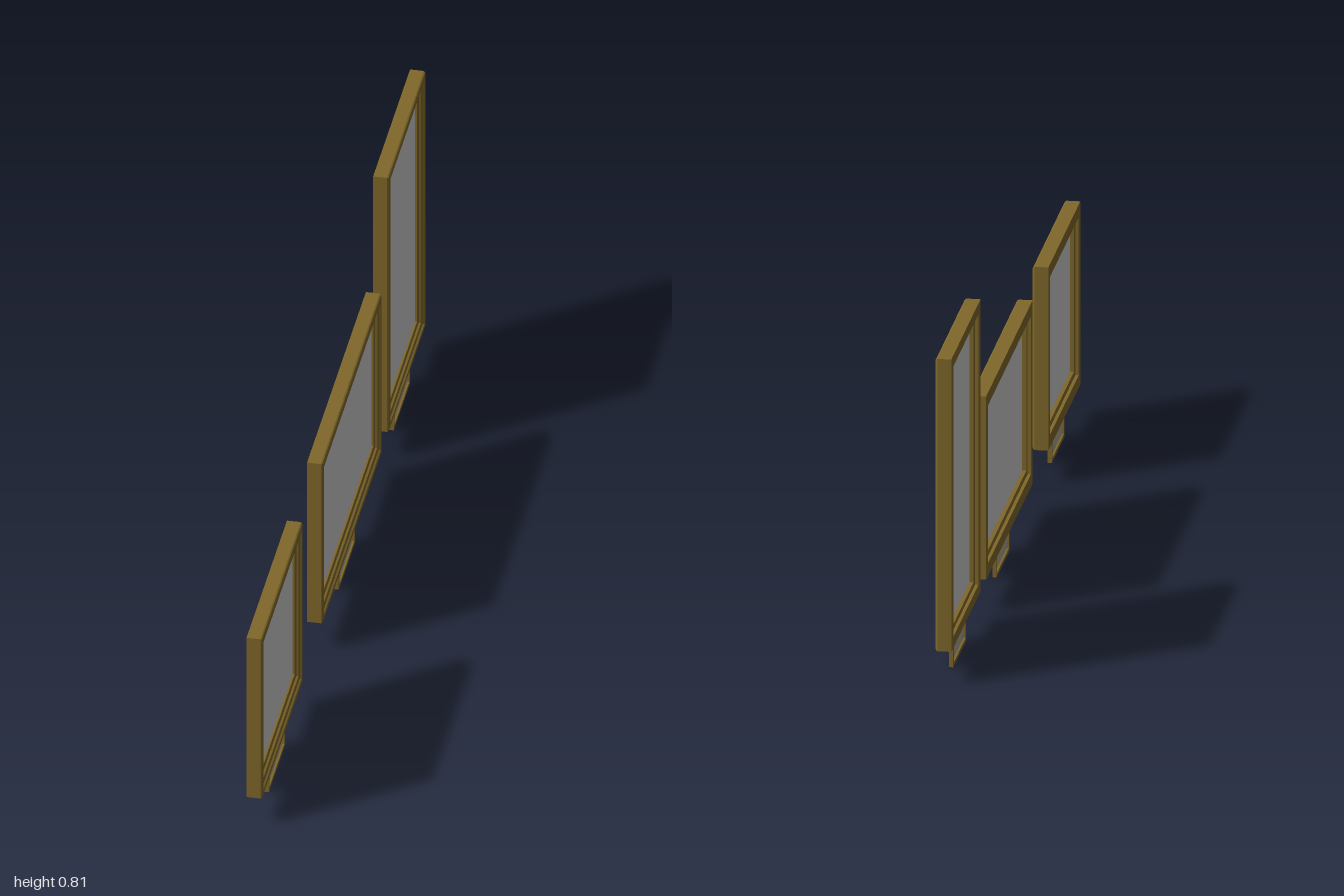
import * as THREE from 'three';

const wood = new THREE.MeshStandardMaterial({ color: 0x80682a });
const glass = new THREE.MeshStandardMaterial({ color: 0xcccccc, side: THREE.DoubleSide });
const label = new THREE.MeshStandardMaterial({ color: 0xaca28f, side: THREE.DoubleSide });

// Closed cross-sections: [share of border width from outer edge, x]
const MOULDING = [[0, -0.02], [0, 0.013], [0.04, 0.016], [0.12, 0.018], [0.4, 0.018], [0.46, 0.014],
  [0.7, 0.012], [0.74, 0.007], [1, 0.005], [1, -0.01], [0.75, -0.012], [0.75, -0.02]];
const FLAT = [[0, -0.005], [0, 0.005], [1, 0.005], [1, -0.005]];

// Sweeps a cross-section around a rectangle, with mitred corners
function ringGeometry({ z0, z1, y0, y1 }, bz, by, profile) {
  const corners = [[z1, y0, -1, 1], [z0, y0, 1, 1], [z0, y1, 1, -1], [z1, y1, -1, -1]];
  const point = (i, j) => {
    const [z, y, sz, sy] = corners[i % 4];
    const [t, x] = profile[j % profile.length];
    return [x, y + sy * t * by, z + sz * t * bz];
  };
  const pos = [];
  for (let i = 0; i < 4; i++) {
    for (let j = 0; j < profile.length; j++) {
      const a = point(i, j), b = point(i + 1, j), c = point(i + 1, j + 1), d = point(i, j + 1);
      pos.push(...a, ...b, ...c, ...a, ...c, ...d);
    }
  }
  const geo = new THREE.BufferGeometry();
  geo.setAttribute('position', new THREE.Float32BufferAttribute(pos, 3));
  geo.computeVertexNormals();
  return geo;
}

// A bordered rectangle with a thin panel set inside it
function framed(name, rect, bz, by, profile, panelMaterial) {
  const group = new THREE.Group();
  group.name = name;
  const border = new THREE.Mesh(ringGeometry(rect, bz, by, profile), wood);
  border.name = name + 'Border';
  const panel = new THREE.Mesh(
    new THREE.PlaneGeometry(rect.z1 - rect.z0 - 2 * bz, rect.y1 - rect.y0 - 2 * by), panelMaterial);
  panel.rotation.y = Math.PI / 2;
  panel.position.set(0, (rect.y0 + rect.y1) / 2, (rect.z0 + rect.z1) / 2);
  panel.name = name + 'Panel';
  group.add(border, panel);
  return group;
}

export function createModel() {
  const model = new THREE.Group();
  model.name = 'pictureFrames';
  const frames = [
    { name: 'squareFrame', z0: 0.505, z1: 1, top: 0.535, bz: 0.033, by: 0.042, plate: 0.755 },
    { name: 'wideFrame', z0: -0.46, z1: 0.26, top: 0.535, bz: 0.033, by: 0.042, plate: -0.1 },
    { name: 'tallFrame', z0: -1, z1: -0.548, top: 0.805, bz: 0.042, by: 0.036, plate: -0.773 },
  ];
  for (const f of frames) {
    // Picture frame
    model.add(framed(f.name, { z0: f.z0, z1: f.z1, y0: 0.081, y1: f.top }, f.bz, f.by, MOULDING, glass));
    // Name plate hanging below
    model.add(framed(f.name + 'Plate',
      { z0: f.plate - 0.1, z1: f.plate + 0.1, y0: 0, y1: 0.082 }, 0.009, 0.009, FLAT, label));
  }
  return model;
}
